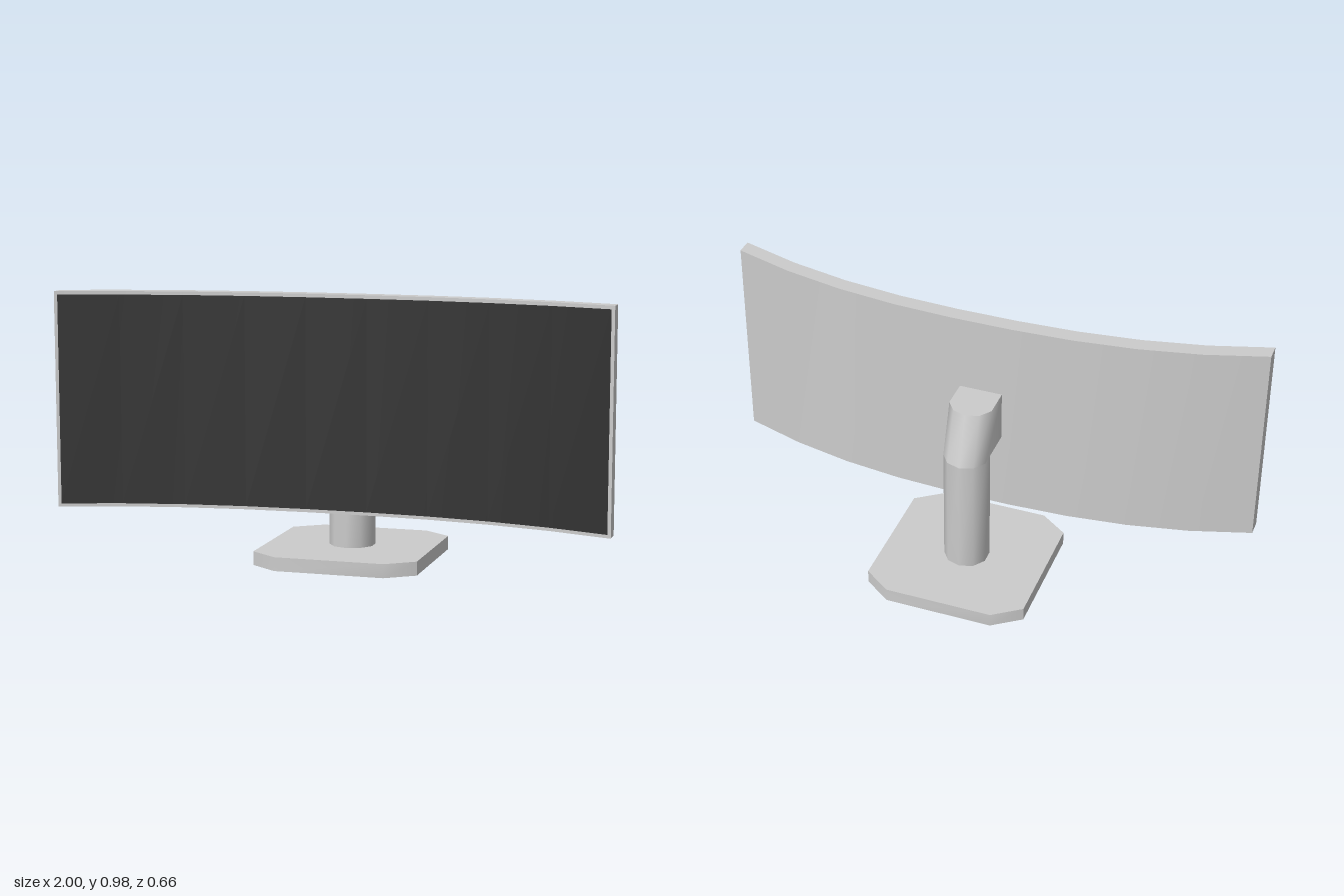
import * as THREE from 'three';
import { toCreasedNormals } from 'three/addons/utils/BufferGeometryUtils.js';

const grey = new THREE.MeshStandardMaterial({ color: 0xcccccc });
const dark = new THREE.MeshStandardMaterial({ color: 0x303030 });

// Closed solid between a lower and an upper outline, both lists of [x, z]
function loft(lower, upper, y0, y1) {
  const flat = (ring) => ring.map(([x, z]) => new THREE.Vector2(x, -z));
  if (THREE.ShapeUtils.isClockWise(flat(lower))) {
    lower = [...lower].reverse();
    upper = [...upper].reverse();
  }
  const n = lower.length;
  const positions = [];
  for (const [x, z] of lower) positions.push(x, y0, z);
  for (const [x, z] of upper) positions.push(x, y1, z);
  const index = [];
  for (let i = 0; i < n; i++) {
    const j = (i + 1) % n;
    index.push(i, j, n + j, i, n + j, n + i);
  }
  for (const [a, b, c] of THREE.ShapeUtils.triangulateShape(flat(lower), [])) index.push(a, c, b);
  for (const [a, b, c] of THREE.ShapeUtils.triangulateShape(flat(upper), [])) index.push(n + a, n + b, n + c);
  const geometry = new THREE.BufferGeometry();
  geometry.setAttribute('position', new THREE.Float32BufferAttribute(positions, 3));
  geometry.setIndex(index);
  return toCreasedNormals(geometry, 0.7);
}

// Depth of the panel's rear face along its width
const rearZ = (x) => 0.118 + 0.152 * Math.pow(Math.abs(x), 2.4);

export function createModel() {
  const model = new THREE.Group();
  model.name = 'curvedMonitor';
  const add = (name, geometry, material = grey) => {
    const mesh = new THREE.Mesh(geometry, material);
    mesh.name = name;
    model.add(mesh);
  };

  // Foot plate with clipped corners
  const foot = [
    [-0.2, 0.278], [0.2, 0.278], [0.302, 0.205], [0.302, -0.255],
    [0.2, -0.328], [-0.2, -0.328], [-0.302, -0.255], [-0.302, 0.205],
  ];
  add('footPlate', loft(foot, foot, 0, 0.05));

  // Ten-sided column, one corner pointing backward
  const radius = 0.084, centreZ = -0.026;
  const corner = (i) => {
    const a = (i / 10) * Math.PI * 2;
    return [radius * Math.sin(a), centreZ - radius * Math.cos(a)];
  };
  const column = Array.from({ length: 10 }, (_, i) => corner(i));
  add('column', loft(column, column, 0.05, 0.502));

  // Head: carries the column's rounded back up, leaning forward to the panel
  const back = [-2, -1, 0, 1, 2].map(corner);
  const side = back[4][0], frontZ = 0.125;
  const headRing = (shift) => [
    [-side, frontZ], ...back.map(([x, z]) => [x, z + shift]), [side, frontZ],
  ];
  add('mountHead', loft(headRing(0), headRing(0.064), 0.502, 0.69));

  // Curved panel body
  const segments = 9, depth = 0.06;
  const xs = Array.from({ length: segments + 1 }, (_, i) => -1 + (2 * i) / segments);
  const panel = [
    ...xs.map((x) => [x, rearZ(x) + depth]),
    ...[...xs].reverse().map((x) => [x, rearZ(x)]),
  ];
  add('panelBody', loft(panel, panel, 0.198, 0.975));

  // Dark screen following the curve, inside a thin bezel
  const screen = new THREE.PlaneGeometry(2, 0.753, segments, 1);
  const p = screen.attributes.position;
  for (let i = 0; i < p.count; i++) {
    const x = THREE.MathUtils.clamp(p.getX(i), -0.988, 0.988);
    p.setXYZ(i, x, p.getY(i) + 0.5865, rearZ(x) + depth + 0.003);
  }
  screen.computeVertexNormals();
  add('screen', screen, dark);

  return model;
}
